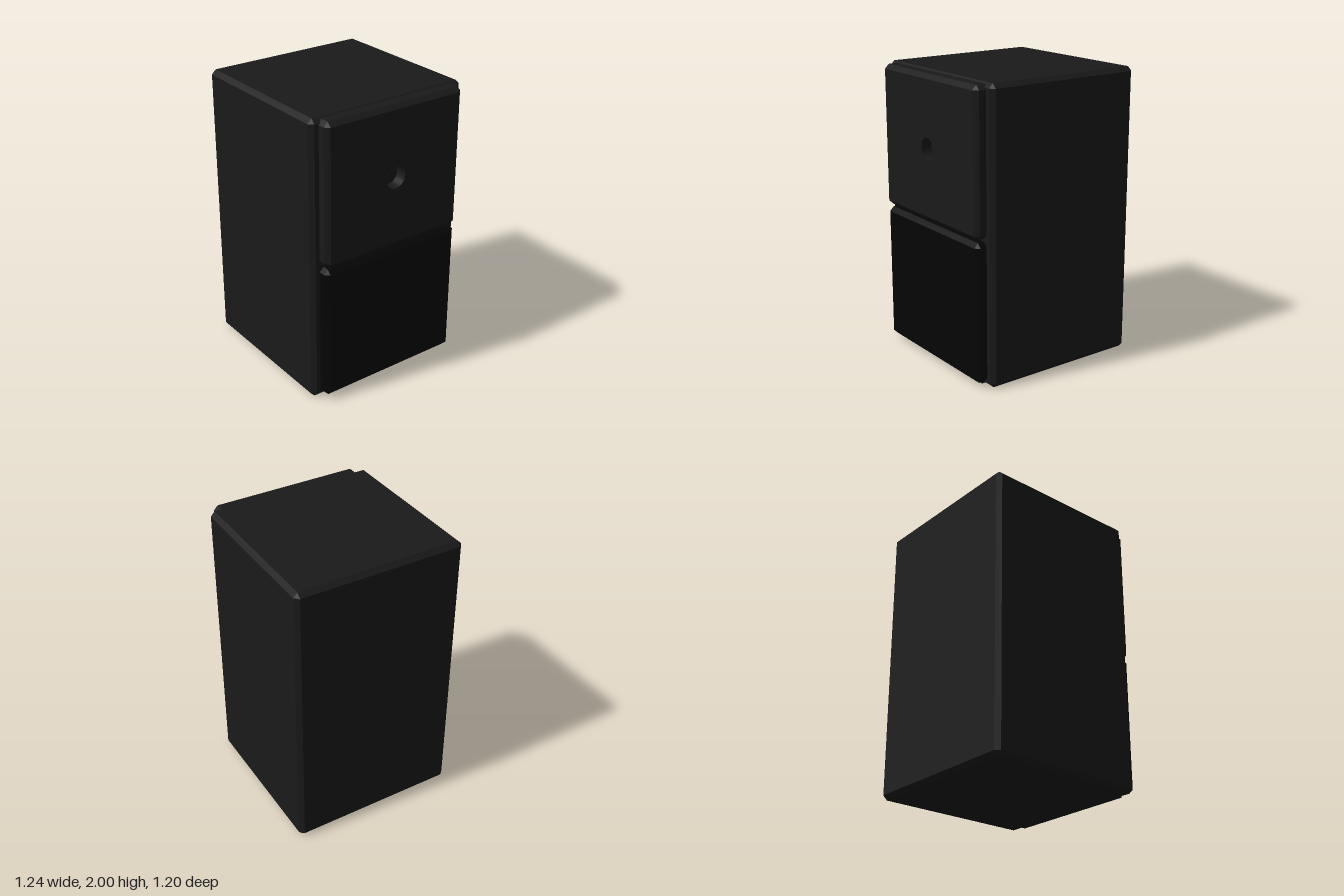
import * as THREE from 'three';
import { ConvexGeometry } from 'three/addons/geometries/ConvexGeometry.js';

const dark = new THREE.MeshStandardMaterial({ color: 0x1a1a1a });
const black = new THREE.MeshStandardMaterial({ color: 0x050505 });
const wall = new THREE.MeshStandardMaterial({ color: 0x1a1a1a, side: THREE.DoubleSide });
const CUT = 0.03;

// Box with every edge and corner chamfered, given by its min and max corners
function chamferBox(min, max, c = CUT) {
  const points = [];
  for (let face = 0; face < 3; face++) {
    for (let corner = 0; corner < 8; corner++) {
      const p = [0, 1, 2].map((axis) => {
        const inset = axis === face ? 0 : c;
        return (corner >> axis) & 1 ? max[axis] - inset : min[axis] + inset;
      });
      points.push(new THREE.Vector3(...p));
    }
  }
  return new ConvexGeometry(points);
}

// Removes the triangles that face straight along +x
function openRightFace(geometry) {
  const pos = geometry.attributes.position;
  const normal = geometry.attributes.normal;
  const kept = [];
  for (let i = 0; i < pos.count; i += 3) {
    if (normal.getX(i) > 0.99) continue;
    for (let k = i; k < i + 3; k++) kept.push(pos.getX(k), pos.getY(k), pos.getZ(k));
  }
  const open = new THREE.BufferGeometry();
  open.setAttribute('position', new THREE.Float32BufferAttribute(kept, 3));
  open.computeVertexNormals();
  return open;
}

function add(parent, name, geometry, material) {
  const mesh = new THREE.Mesh(geometry, material);
  mesh.name = name;
  parent.add(mesh);
  return mesh;
}

export function createModel() {
  const model = new THREE.Group();
  model.name = 'cabinet';

  // Cabinet body
  add(model, 'body', chamferBox([-0.62, 0, -0.6], [0.54, 2, 0.6]), dark);

  // Low sill under the lower panel
  const sill = add(model, 'sill', new THREE.BoxGeometry(0.1, 0.03, 0.96), dark);
  sill.position.set(0.49, 0.015, 0);

  // Lower panel
  add(model, 'lowerPanel', chamferBox([0.46, 0.03, -0.54], [0.615, 0.99, 0.54]), black);

  // Upper panel: chamfered rim, pierced face and round recess
  const upper = new THREE.Group();
  upper.name = 'upperPanel';
  model.add(upper);
  const x = 0.62, y0 = 1.01, y1 = 1.99, half = 0.54 - CUT, radius = 0.075, holeY = 1.5;
  add(upper, 'panelRim', openRightFace(chamferBox([0.46, y0, -0.54], [x, y1, 0.54])), dark);

  const face = new THREE.Shape([
    new THREE.Vector2(-half, y0 + CUT),
    new THREE.Vector2(half, y0 + CUT),
    new THREE.Vector2(half, y1 - CUT),
    new THREE.Vector2(-half, y1 - CUT),
  ]);
  face.holes.push(new THREE.Path().absarc(0, holeY, radius, 0, Math.PI * 2, true));
  const panelFace = add(upper, 'panelFace', new THREE.ShapeGeometry(face, 32), dark);
  panelFace.rotation.y = Math.PI / 2;
  panelFace.position.x = x;

  const depth = x - 0.54;
  const recess = add(upper, 'recessWall',
    new THREE.CylinderGeometry(radius, radius, depth, 32, 1, true), wall);
  recess.rotation.z = Math.PI / 2;
  recess.position.set(x - depth / 2, holeY, 0);

  return model;
}
